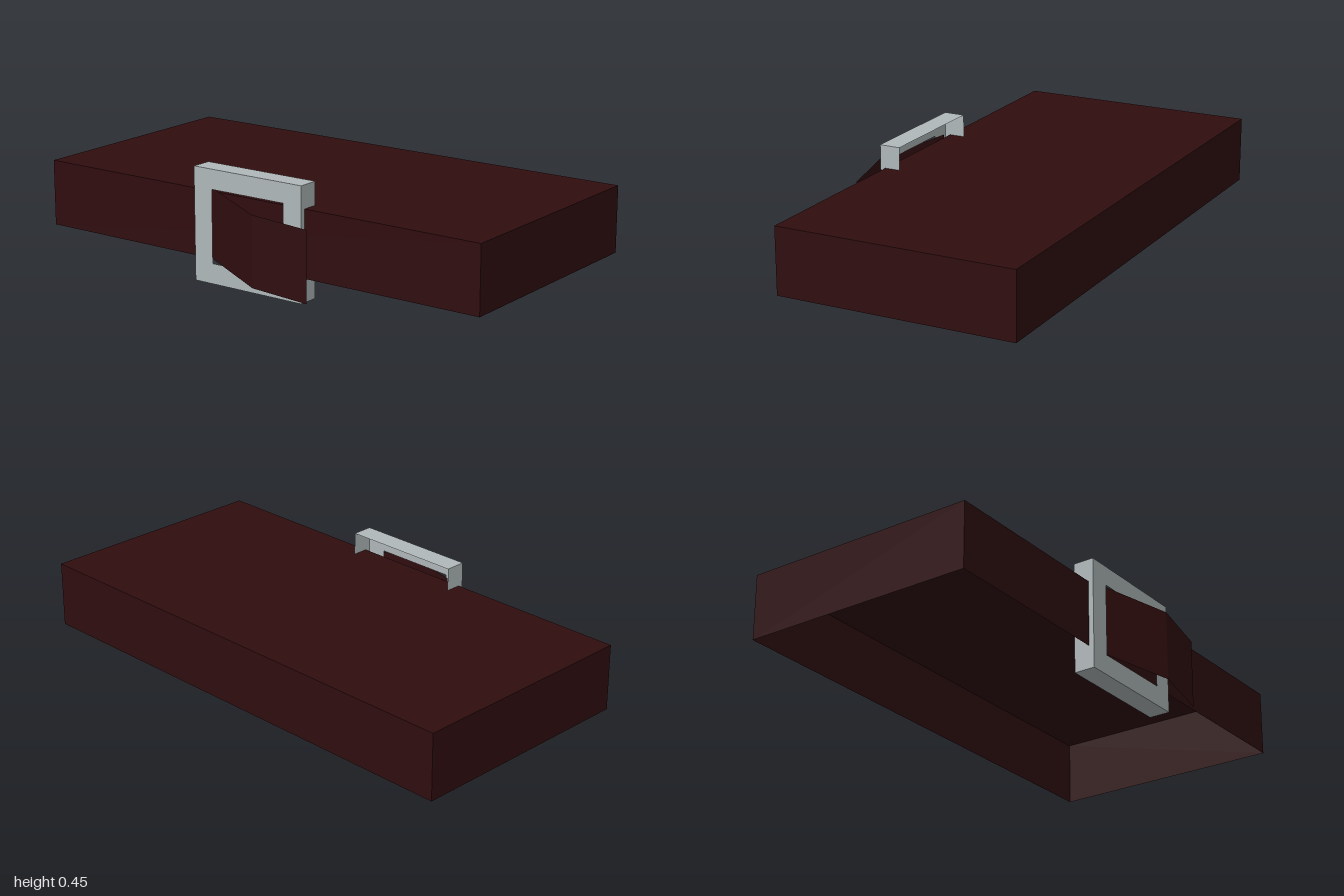
import * as THREE from 'three';

const leather = new THREE.MeshStandardMaterial({ color: 0x300d0f, side: THREE.DoubleSide });
leather.name = 'darkLeather';
const metal = new THREE.MeshStandardMaterial({ color: 0xb0b8ba, side: THREE.DoubleSide });
metal.name = 'greyMetal';

// Flat-faced surface from quads, each with corners anticlockwise from outside
function quads(name, material, faces) {
  const positions = faces.flatMap(([a, b, c, d]) => [a, b, c, a, c, d].flat());
  const geometry = new THREE.BufferGeometry();
  geometry.setAttribute('position', new THREE.Float32BufferAttribute(positions, 3));
  geometry.computeVertexNormals();
  const mesh = new THREE.Mesh(geometry, material);
  mesh.name = name;
  return mesh;
}

// Band of quads between a lower path and the same path raised by a height
function band(path, height) {
  const up = ([x, y, z]) => [x, y + height, z];
  return path.slice(1).map((b, i) => [path[i], b, up(b), up(path[i])]);
}

export function createModel() {
  const model = new THREE.Group();
  model.name = 'buckledBelt';

  // Belt: four thin walls, very slightly higher at the back, closed on top
  const corners = [[-1, 0.091, 0.424], [1, 0.091, 0.424], [1, 0.096, -0.54], [-1, 0.096, -0.54]];
  const h = 0.264;
  model.add(quads('beltBand', leather, band([...corners, corners[0]], h)));
  model.add(quads('beltTop', leather, [corners.map(([x, y, z]) => [x, y + h, z])]));

  // Loose strap end, coming out through the buckle and sagging to the left
  const flap = [[-0.2, 0.093, 0.42], [0.095, 0.056, 0.54], [0.32, 0.03, 0.51]];
  model.add(quads('strapEnd', leather, band(flap, 0.278)));

  // Buckle: a front plate with a window and an outer rim, open at the back
  const [x0, x1, y1, front, back] = [-0.255, 0.247, 0.446, 0.445, 0.36];
  const buckle = new THREE.Group();
  buckle.name = 'buckle';
  const rectangle = (a, b, c, d) => [[a, b], [c, b], [c, d], [a, d]].map(p => new THREE.Vector2(...p));
  const plate = new THREE.Shape(rectangle(x0, 0, x1, y1));
  plate.holes.push(new THREE.Path(rectangle(-0.17, 0.08, 0.165, 0.368)));
  const face = new THREE.Mesh(new THREE.ShapeGeometry(plate), metal);
  face.name = 'buckleFace';
  face.position.z = front;
  const outline = [[x0, 0], [x1, 0], [x1, y1], [x0, y1]];
  const rim = outline.map(([ax, ay], i) => {
    const [bx, by] = outline[(i + 1) % 4];
    return [[ax, ay, back], [bx, by, back], [bx, by, front], [ax, ay, front]];
  });
  buckle.add(face, quads('buckleRim', metal, rim));
  model.add(buckle);

  return model;
}
